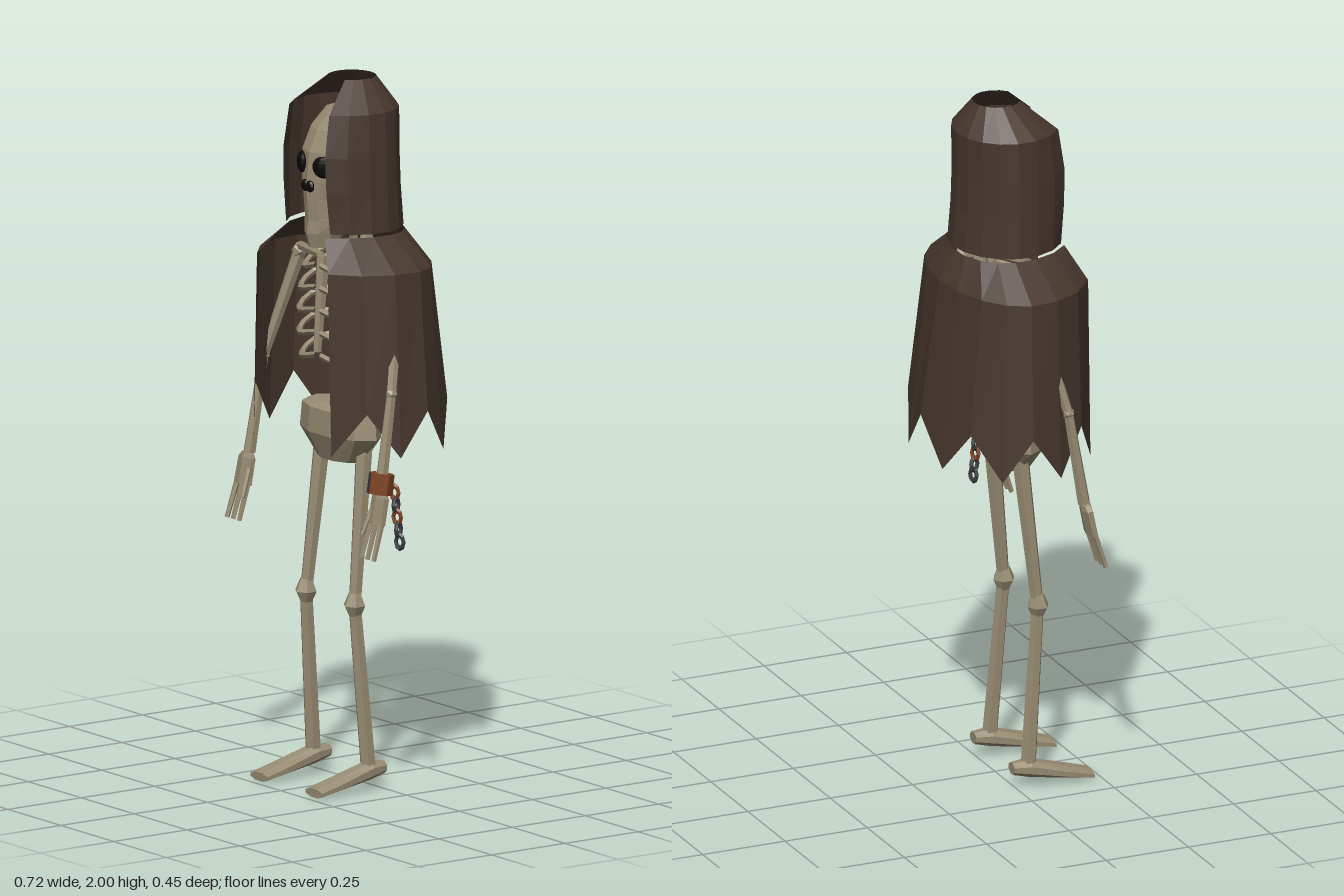
import * as THREE from 'three';

const bone = new THREE.MeshStandardMaterial({ color: 0x978b72 });
bone.name = 'bone';
const cloth = new THREE.MeshStandardMaterial({ color: 0x46362d, side: THREE.DoubleSide });
cloth.name = 'cloak cloth';
const black = new THREE.MeshStandardMaterial({ color: 0x0b0a0a });
black.name = 'socket black';
const rust = new THREE.MeshStandardMaterial({ color: 0x7d4222 });
rust.name = 'rust';
const iron = new THREE.MeshStandardMaterial({ color: 0x3d3c42 });
iron.name = 'dark iron';

const V = (x, y, z) => new THREE.Vector3(x, y, z);

// Faceted mesh
function add(parent, name, geo, mat) {
  const g = geo.index ? geo.toNonIndexed() : geo;
  g.computeVertexNormals();
  const m = new THREE.Mesh(g, mat);
  m.name = name;
  parent.add(m);
  return m;
}

// Skin over rings listed bottom to top: [y, rx, back radius, front radius, cz].
// Angles run from the front (+z) towards +x; lift(ring, i) shifts a vertex in y.
function loft(rings, n, a0 = 0, a1 = Math.PI * 2, caps = true, lift = () => 0) {
  const pos = [], idx = [], row = n + 1;
  rings.forEach(([y, rx, rb, rf, cz = 0], j) => {
    for (let i = 0; i <= n; i++) {
      const a = a0 + (a1 - a0) * i / n, c = Math.cos(a);
      pos.push(rx * Math.sin(a), y + lift(j, i), cz + (c > 0 ? rf : rb) * c);
    }
  });
  for (let j = 0; j < rings.length - 1; j++) for (let i = 0; i < n; i++) {
    const a = j * row + i, d = a + row;
    idx.push(a, a + 1, d + 1, a, d + 1, d);
  }
  if (caps) {
    const top = (rings.length - 1) * row, c = pos.length / 3, last = rings[rings.length - 1];
    pos.push(0, rings[0][0], rings[0][4] || 0, 0, last[0], last[4] || 0);
    for (let i = 0; i < n; i++) idx.push(c, i + 1, i, c + 1, top + i, top + i + 1);
  }
  const g = new THREE.BufferGeometry();
  g.setAttribute('position', new THREE.Float32BufferAttribute(pos, 3));
  g.setIndex(idx);
  return g;
}

// Tapered bone from a to b
function limb(parent, name, a, b, ra, rb, sides = 6, mat = bone) {
  const d = b.clone().sub(a);
  const m = add(parent, name, new THREE.CylinderGeometry(rb, ra, d.length(), sides), mat);
  m.position.copy(a).add(b).multiplyScalar(0.5);
  m.quaternion.setFromUnitVectors(V(0, 1, 0), d.normalize());
  return m;
}

function buildCloak(root) {
  const open = 0.61, end = Math.PI * 2 - open;
  // Cape with a ragged hem: even vertices hang down as points
  add(root, 'cape', loft([
    [1.1, 0.32, 0.228, 0.25], [1.49, 0.293, 0.173, 0.25], [1.575, 0.17, 0.13, 0.2],
  ], 14, open, end, false, (j, i) => (j ? 0 : i % 2 ? 0 : -0.125)), cloth);
  // Hood, open at the face and the crown
  add(root, 'hood', loft([
    [1.585, 0.172, 0.15, 0.165, 0.02], [1.7, 0.167, 0.14, 0.178, 0.02],
    [1.8, 0.163, 0.137, 0.182, 0.02], [1.92, 0.156, 0.14, 0.16, 0.02],
    [2.0, 0.068, 0.065, 0.07, 0],
  ], 14, open + 0.04, end - 0.04, false), cloth);
}

function buildSkull(root) {
  const skull = new THREE.Group();
  skull.name = 'skull';
  root.add(skull);
  add(skull, 'cranium', loft([
    [1.6, 0.06, 0.04, 0.08, 0.07], [1.67, 0.07, 0.07, 0.1, 0.055],
    [1.72, 0.092, 0.11, 0.12, 0.035], [1.8, 0.106, 0.12, 0.113, 0.035],
    [1.86, 0.098, 0.11, 0.09, 0.03], [1.91, 0.066, 0.07, 0.055, 0.02],
  ], 12), bone);
  add(skull, 'jaw', loft([
    [1.53, 0.036, 0.03, 0.045, 0.1], [1.57, 0.052, 0.06, 0.07, 0.085],
    [1.61, 0.064, 0.07, 0.07, 0.08],
  ], 10), bone);
  for (const s of [-1, 1]) {
    const eye = add(skull, 'eyeSocket', new THREE.SphereGeometry(1, 10, 8), black);
    eye.scale.set(0.036, 0.031, 0.014);
    eye.position.set(s * 0.051, 1.763, 0.135);
    eye.rotation.set(-0.05, s * 0.45, 0);
    const nostril = add(skull, 'nostril', new THREE.SphereGeometry(1, 8, 6), black);
    nostril.scale.set(0.016, 0.017, 0.01);
    nostril.position.set(s * 0.011, 1.705, 0.153);
  }
}

function buildTorso(root) {
  // Spine of stacked vertebrae
  const at = y => V(0, y, -0.03 - 0.03 * Math.sin((y - 1.05) * 5.2));
  limb(root, 'spineCore', at(1.02), at(1.35), 0.012, 0.012);
  limb(root, 'spineCore', at(1.35), V(0, 1.62, 0.02), 0.012, 0.014);
  for (let i = 0; i < 11; i++) {
    const v = add(root, 'vertebra', new THREE.CylinderGeometry(0.018, 0.024, 0.03, 6), bone);
    v.position.copy(at(1.07 + i * 0.046));
  }
  limb(root, 'sternum', V(0, 1.23, 0.12), V(0, 1.5, 0.1), 0.012, 0.02);
  // Rib cage
  const widths = [0.135, 0.16, 0.17, 0.17, 0.155];
  for (const s of [-1, 1]) {
    widths.forEach((w, i) => {
      const y = 1.47 - i * 0.064;
      const path = new THREE.CatmullRomCurve3([
        V(0, y + 0.03, -0.06), V(s * w * 0.65, y + 0.035, -0.055), V(s * w, y + 0.01, 0.02),
        V(s * w * 0.75, y - 0.015, 0.09), V(s * 0.01, y + 0.005, 0.115),
      ]);
      add(root, 'rib', new THREE.TubeGeometry(path, 12, 0.009, 5), bone);
    });
    limb(root, 'collarBone', V(s * 0.01, 1.5, 0.1), V(s * 0.23, 1.475, 0.01), 0.011, 0.014);
  }
  add(root, 'pelvis', loft([
    [0.92, 0.09, 0.045, 0.055, 0.035], [0.995, 0.162, 0.065, 0.085, 0.035],
    [1.065, 0.155, 0.065, 0.08, 0.035], [1.078, 0.12, 0.05, 0.05, 0.035],
  ], 10, Math.PI / 10, Math.PI * 2.1), bone);
}

function buildLeg(root, s) {
  const leg = new THREE.Group();
  leg.name = s > 0 ? 'leftLeg' : 'rightLeg';
  root.add(leg);
  const hip = V(s * 0.098, 0.97, 0.03), knee = V(s * 0.115, 0.525, 0.075), ankle = V(s * 0.13, 0.065, 0.04);
  limb(leg, 'thigh', knee, hip, 0.018, 0.025);
  limb(leg, 'shin', ankle, knee, 0.023, 0.019);
  const cap = add(leg, 'knee', loft([
    [-0.03, 0.018, 0.018, 0.018], [0, 0.033, 0.03, 0.033], [0.035, 0.018, 0.018, 0.018],
  ], 6), bone);
  cap.position.copy(knee);
  // Foot widens and flattens towards the toes
  const foot = add(leg, 'foot', loft([
    [-0.01, 0.022, 0.018, 0.018, -0.06], [0.04, 0.032, 0.028, 0.026, -0.055],
    [0.15, 0.044, 0.019, 0.019, -0.031], [0.225, 0.043, 0.013, 0.013, -0.014],
  ], 8, Math.PI / 8, Math.PI * 2.125).rotateX(Math.PI / 2), bone);
  foot.position.x = s * 0.13;
}

function buildArm(root, s) {
  const arm = new THREE.Group();
  arm.name = s > 0 ? 'leftArm' : 'rightArm';
  root.add(arm);
  const shoulder = V(s * 0.235, 1.46, 0.01), elbow = V(s * 0.302, 1.16, 0.085), wrist = V(s * 0.31, 0.89, 0.128);
  limb(arm, 'upperArm', elbow, shoulder, 0.014, 0.02);
  limb(arm, 'forearm', wrist, elbow, 0.018, 0.014);
  for (const [p, r] of [[shoulder, 0.026], [elbow, 0.018]]) {
    add(arm, 'joint', new THREE.IcosahedronGeometry(r, 0), bone).position.copy(p);
  }
  const palm = add(arm, 'palm', loft([
    [-0.045, 0.037, 0.015, 0.015], [0.03, 0.034, 0.016, 0.016], [0.045, 0.02, 0.015, 0.015],
  ], 6), bone);
  palm.position.set(s * 0.316, 0.845, 0.138);
  palm.rotation.x = -0.2;
  for (const k of [-1, 0, 1]) {
    limb(arm, 'finger', V(s * (0.316 + k * 0.025), 0.82, 0.143), V(s * (0.318 + k * 0.029), 0.705, 0.178), 0.009, 0.007, 5);
  }
  limb(arm, 'thumb', V(s * 0.292, 0.85, 0.14), V(s * 0.283, 0.77, 0.17), 0.008, 0.006, 5);
}

function buildShackle(root) {
  const shackle = new THREE.Group();
  shackle.name = 'shackle';
  root.add(shackle);
  // Cuff with some faces bare iron
  const cuff = add(shackle, 'cuff', new THREE.CylinderGeometry(0.036, 0.036, 0.058, 8), [rust, iron]);
  cuff.geometry.clearGroups();
  for (let i = 0; i < 8; i++) cuff.geometry.addGroup(i * 6, 6, [3, 5, 7].includes(i) ? 1 : 0);
  cuff.geometry.addGroup(48, 48, 0);
  cuff.position.set(0.308, 0.912, 0.126);
  cuff.rotation.x = -0.15;
  // Broken chain
  for (let i = 0; i < 5; i++) {
    const link = add(shackle, 'chainLink', new THREE.TorusGeometry(0.013, 0.006, 5, 8), i % 2 ? iron : i < 3 ? rust : iron);
    link.scale.y = 1.4;
    link.position.set(0.322 + i * 0.006, 0.885 - i * 0.034, 0.088);
    link.rotation.y = 0.4 + (i % 2) * Math.PI / 2;
  }
}

export function createModel() {
  const root = new THREE.Group();
  root.name = 'hoodedSkeleton';
  const body = new THREE.Group();
  body.name = 'body';
  body.position.x = -0.006;
  root.add(body);
  buildCloak(body);
  buildSkull(body);
  buildTorso(body);
  for (const s of [-1, 1]) {
    buildLeg(body, s);
    buildArm(body, s);
  }
  buildShackle(body);
  return root;
}
